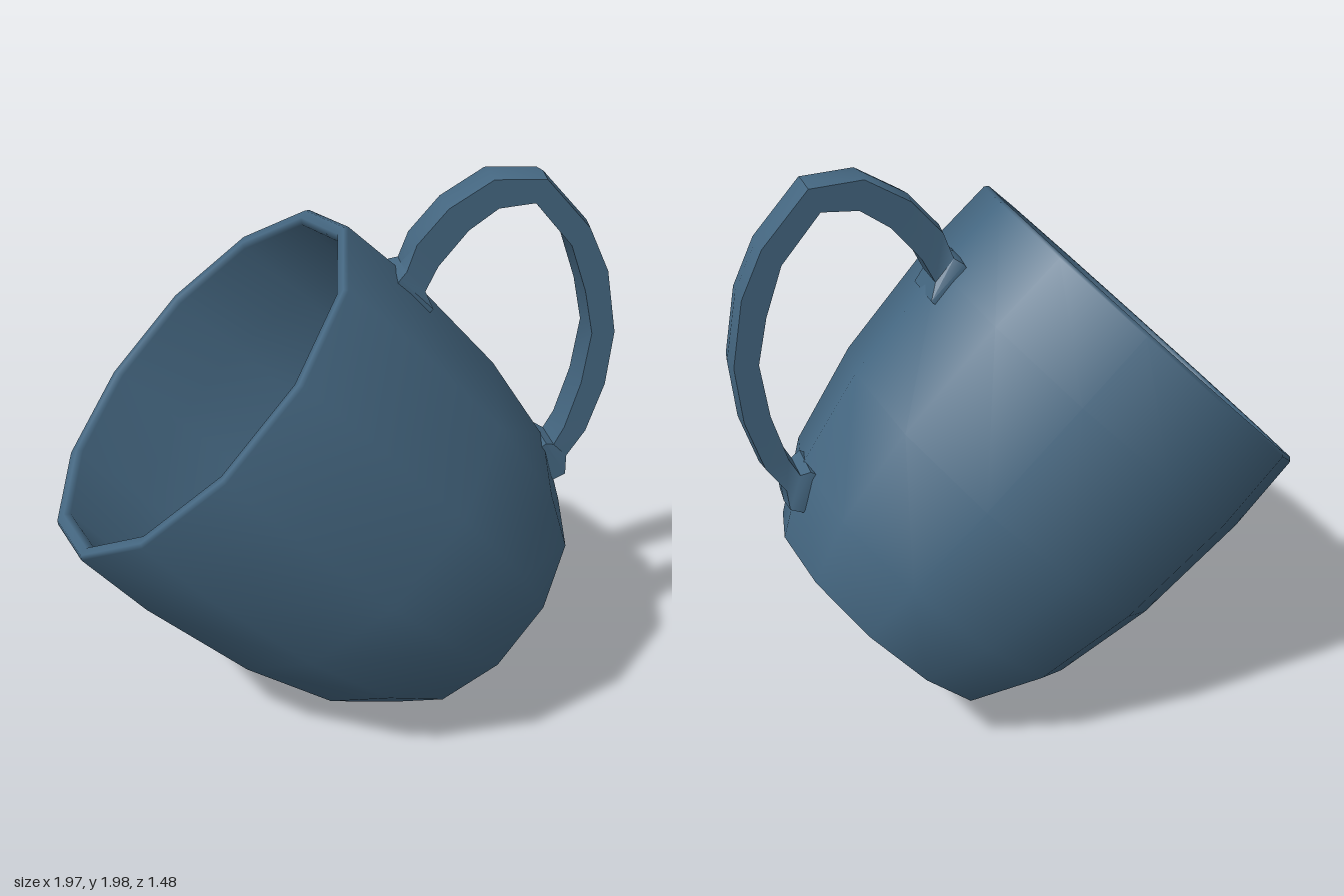
import * as THREE from 'three';
import { toCreasedNormals } from 'three/addons/utils/BufferGeometryUtils.js';

// Skin a row of cross-section loops ([x, y, z] points) and close both ends
function loft(sections) {
  const n = sections[0].length, last = (sections.length - 1) * n, index = [];
  for (let s = 0; s < sections.length - 1; s++) {
    for (let k = 0; k < n; k++) {
      const a = s * n + k, b = s * n + (k + 1) % n;
      index.push(a, a + n, b, b, a + n, b + n);
    }
  }
  for (let k = 1; k < n - 1; k++) {
    index.push(0, k, k + 1, last, last + k + 1, last + k);
  }
  const geo = new THREE.BufferGeometry();
  geo.setAttribute('position', new THREE.Float32BufferAttribute(sections.flat(2), 3));
  geo.setIndex(index);
  return toCreasedNormals(geo, 0.7);
}

export function createModel() {
  const model = new THREE.Group();
  model.name = 'tiltedMug';
  const glaze = new THREE.MeshStandardMaterial({ color: 0x446680 });

  // Cup: twelve-sided, thick-walled, leaning over on its bottom edge
  const profile = [
    [0, 0], [0.465, 0], [0.497, 0.008], [0.633, 0.251], [0.711, 0.614], [0.739, 1.064], [0.727, 1.36],
    [0.715, 1.372], [0.685, 1.37], [0.668, 1.352],
    [0.685, 1.06], [0.655, 0.61], [0.58, 0.26], [0.46, 0.08], [0, 0.07],
  ].map(([r, y]) => new THREE.Vector2(r, y));
  const cup = new THREE.Mesh(new THREE.LatheGeometry(profile, 12), glaze);
  cup.name = 'cup';
  cup.position.set(0.495, 0.36, 0);
  cup.rotation.z = Math.PI / 4;
  model.add(cup);

  // Handle: outer x, y, inner x, y and half width along the arch, flared at both feet
  const arch = [
    [0.19, 1.65, 0.3, 1.54, 0.095],
    [0.205, 1.675, 0.32, 1.56, 0.095],
    [0.232, 1.69, 0.297, 1.615, 0.07],
    [0.265, 1.78, 0.34, 1.7, 0.066],
    [0.37, 1.9, 0.44, 1.82, 0.066],
    [0.52, 1.99, 0.54, 1.89, 0.066],
    [0.7, 1.98, 0.665, 1.9, 0.066],
    [0.86, 1.8, 0.8, 1.74, 0.066],
    [0.935, 1.64, 0.86, 1.57, 0.066],
    [0.977, 1.41, 0.895, 1.41, 0.066],
    [0.958, 1.21, 0.87, 1.22, 0.066],
    [0.9, 1.03, 0.82, 1.05, 0.066],
    [0.835, 0.935, 0.785, 0.985, 0.068],
    [0.83, 0.87, 0.752, 1.0, 0.085],
    [0.785, 0.85, 0.72, 0.98, 0.085],
  ];
  const sections = arch.map(([ox, oy, ix, iy, w]) => {
    const bulge = 0.009 / Math.hypot(ox - ix, oy - iy);
    return [
      [ox, oy, w],
      [ox + (ox - ix) * bulge, oy + (oy - iy) * bulge, 0],
      [ox, oy, -w],
      [ix, iy, -w],
      [ix, iy, w],
    ];
  });
  const handle = new THREE.Mesh(loft(sections), glaze);
  handle.name = 'handle';
  model.add(handle);

  return model;
}
